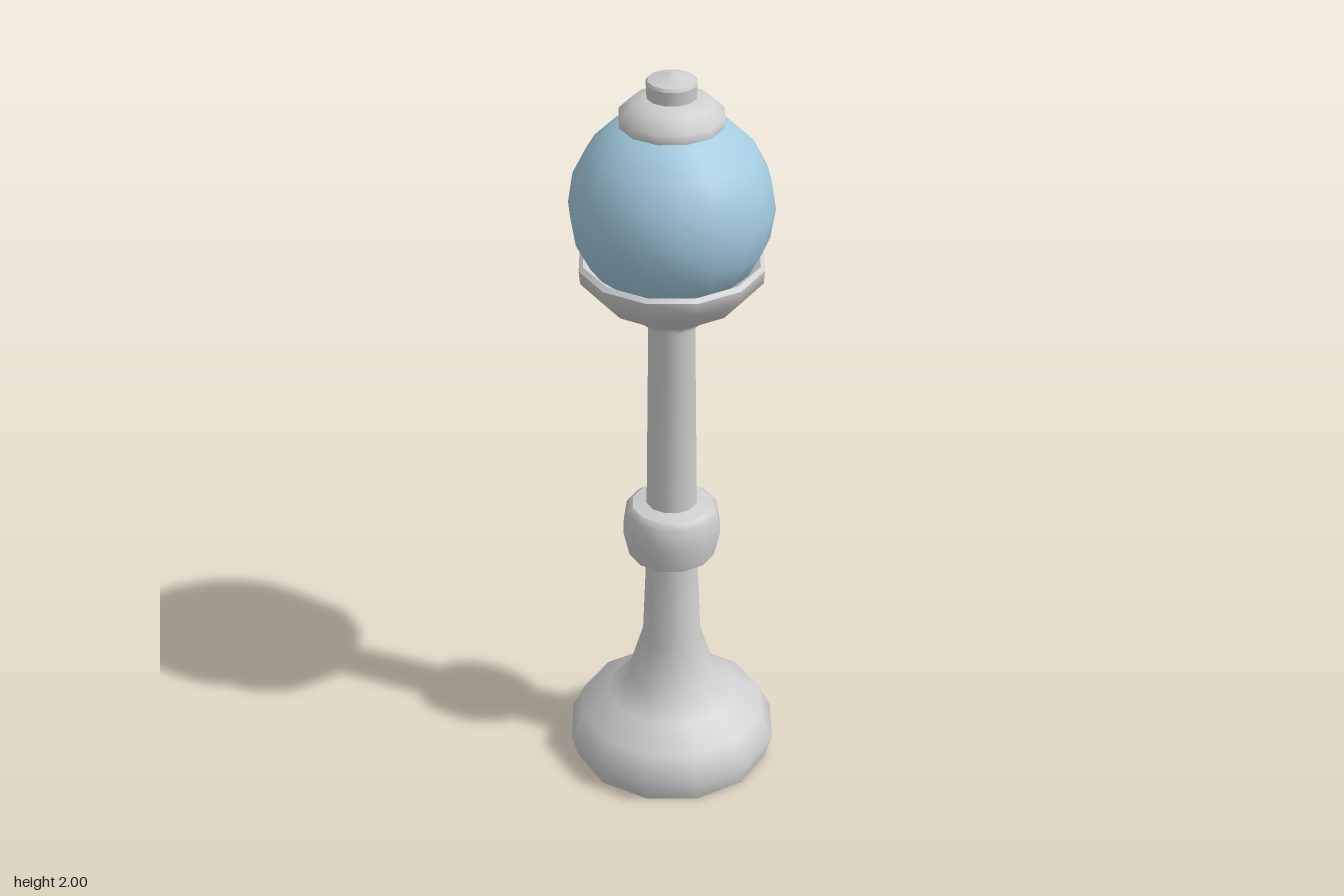
import * as THREE from 'three';

const stone = new THREE.MeshStandardMaterial({ color: 0xcfcfcf });
stone.name = 'pale grey';
const glass = new THREE.MeshStandardMaterial({ color: 0xa3cbdf });
glass.name = 'light blue';

// Twelve-sided turned part; each profile runs upward and is smooth, separate profiles meet in sharp edges
function turned(name, ...profiles) {
  const part = new THREE.Group();
  part.name = name;
  profiles.forEach((points, i) => {
    const geometry = new THREE.LatheGeometry(points.map(([r, y]) => new THREE.Vector2(r, y)), 12);
    const mesh = new THREE.Mesh(geometry, stone);
    mesh.name = `${name}Surface${i + 1}`;
    part.add(mesh);
  });
  return part;
}

export function createModel() {
  const model = new THREE.Group();
  model.name = 'globeLampPost';

  // Flared foot rising into the lower shaft
  model.add(turned('base',
    [[0, 0], [0.265, 0]],
    [[0.265, 0], [0.283, 0.065], [0.25, 0.135], [0.175, 0.185], [0.117, 0.245], [0.08, 0.37], [0.068, 0.65]]));

  // Ring around the shaft
  model.add(turned('collar',
    [[0.06, 0.64], [0.115, 0.64]],
    [[0.115, 0.64], [0.131, 0.71], [0.122, 0.77], [0.105, 0.785]],
    [[0.105, 0.785], [0.06, 0.795]]));

  // Upper shaft opening into the cup under the globe
  model.add(turned('shaftAndCup',
    [[0.068, 0.78], [0.061, 1.32], [0.105, 1.36], [0.18, 1.405], [0.234, 1.465], [0.237, 1.5]],
    [[0.237, 1.5], [0.226, 1.51]],
    [[0.226, 1.51], [0.18, 1.48]]));

  // Glass globe
  const globe = new THREE.Mesh(new THREE.SphereGeometry(0.255, 18, 10), glass);
  globe.name = 'globe';
  globe.position.y = 1.65;
  model.add(globe);

  // Cap on the globe
  model.add(turned('cap',
    [[0.1, 1.87], [0.13, 1.87]],
    [[0.13, 1.87], [0.132, 1.895], [0.102, 1.925], [0.062, 1.94], [0, 1.945]]));

  // Finial
  model.add(turned('finial',
    [[0.062, 1.935], [0.064, 1.975]],
    [[0.064, 1.975], [0.06, 1.983]],
    [[0.06, 1.983], [0, 2]]));

  return model;
}
